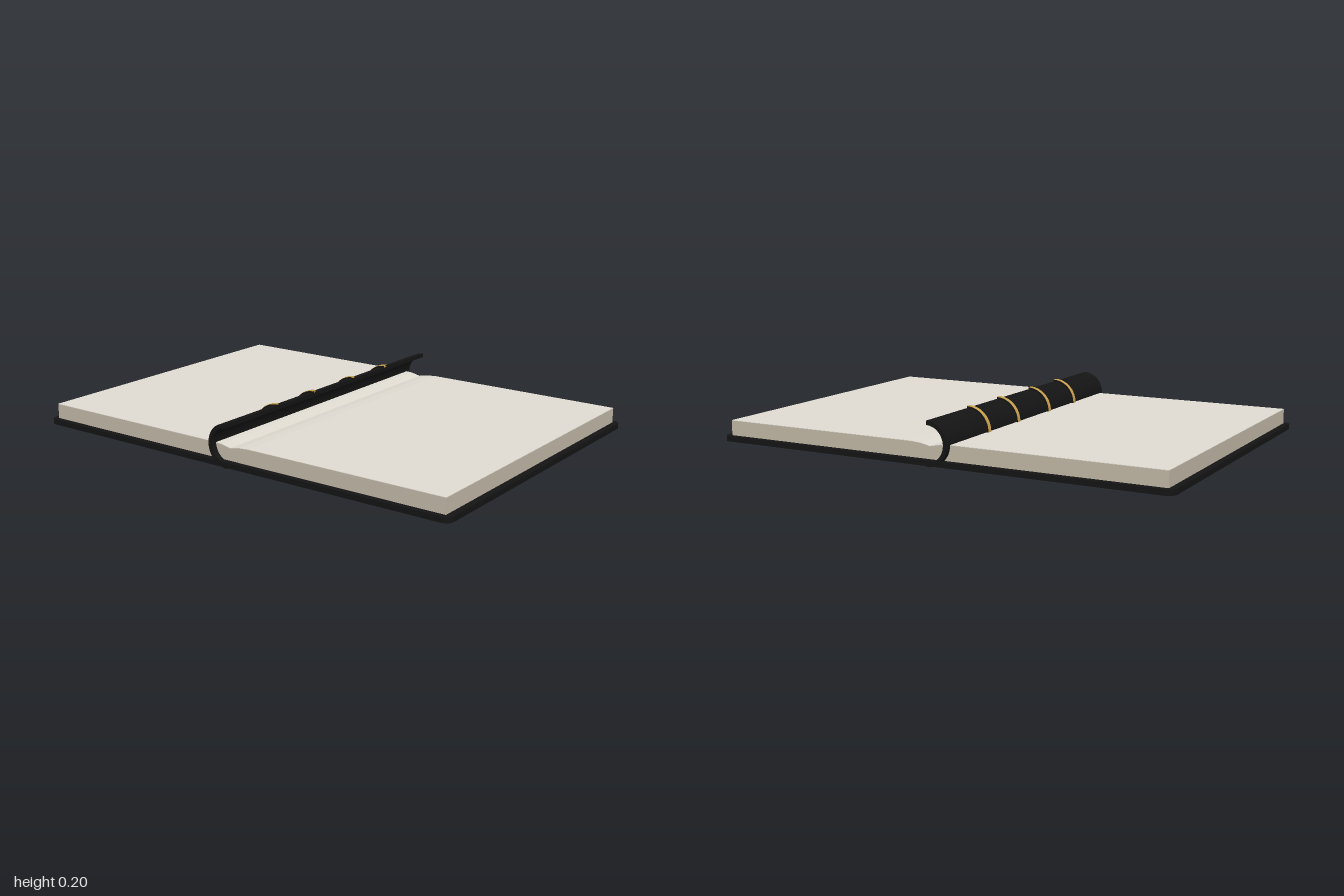
import * as THREE from 'three';

const mat = (color, side = THREE.FrontSide) => {
  const m = new THREE.MeshStandardMaterial({ color });
  m.side = side;
  return m;
};
const leather = mat(0x141414);
const paper = mat(0xdedad0);
const paperEdge = mat(0xc0b7a5);
const gold = mat(0xc9a04c);

const SPINE_Y = 0.1;

function add(group, name, geometry, material) {
  const mesh = new THREE.Mesh(geometry, material);
  mesh.name = name;
  group.add(mesh);
  return mesh;
}

// Half ring bulging towards -x, extruded along z and centred at z
function halfRing(rInner, rOuter, width, z) {
  const s = new THREE.Shape();
  s.absarc(0, 0, rOuter, Math.PI / 2, Math.PI * 1.5, false);
  s.absarc(0, 0, rInner, Math.PI * 1.5, Math.PI / 2, true);
  const g = new THREE.ExtrudeGeometry(s, { depth: width, bevelEnabled: false, curveSegments: 32 });
  return g.translate(0, SPINE_Y, z - width / 2);
}

// Flat board from x = 0 to x = 1 with rounded outer corners
function boardGeometry() {
  const d = 0.7, r = 0.035;
  const s = new THREE.Shape();
  s.moveTo(0, -d);
  s.lineTo(1 - r, -d);
  s.absarc(1 - r, -d + r, r, -Math.PI / 2, 0, false);
  s.absarc(1 - r, d - r, r, 0, Math.PI / 2, false);
  s.lineTo(0, d);
  const g = new THREE.ExtrudeGeometry(s, { depth: 0.022, bevelEnabled: false, curveSegments: 8 });
  return g.rotateX(-Math.PI / 2).translate(0, 0.014, 0);
}

// Both page stacks as one cross-section, dipping into the gutter
function pagesGeometry(bottom, lower) {
  const top = [[0.972, 0.1], [0.09, 0.1], [0.045, 0.097], [0.02, 0.092], [0, 0.088],
    [-0.02, 0.092], [-0.045, 0.097], [-0.09, 0.1], [-0.972, 0.1]];
  const pts = top.map(([x, y]) => new THREE.Vector2(x, y - lower));
  const under = bottom === null
    ? [...top].reverse().map(([x, y]) => new THREE.Vector2(x, y - 0.002))
    : [new THREE.Vector2(-0.972, bottom), new THREE.Vector2(0.972, bottom)];
  const g = new THREE.ExtrudeGeometry(new THREE.Shape([...pts, ...under]), { depth: 1.35, bevelEnabled: false });
  return g.translate(0, 0, -0.675);
}

// Thin rectangular outline lying under a board
function frameGeometry(x0, x1, d, w) {
  const rect = (Type, i) => new Type([
    new THREE.Vector2(x0 + i, -d + i), new THREE.Vector2(x1 - i, -d + i),
    new THREE.Vector2(x1 - i, d - i), new THREE.Vector2(x0 + i, d - i)]);
  const s = rect(THREE.Shape, 0);
  s.holes.push(rect(THREE.Path, w));
  const g = new THREE.ExtrudeGeometry(s, { depth: 0.004, bevelEnabled: false });
  return g.rotateX(-Math.PI / 2).translate(0, 0.011, 0);
}

export function createModel() {
  const book = new THREE.Group();
  book.name = 'openBook';

  // Covers
  add(book, 'leftCover', boardGeometry(), leather);
  add(book, 'rightCover', boardGeometry(), leather).rotation.y = Math.PI;

  // Page stacks with a lighter top sheet
  add(book, 'pageBlock', pagesGeometry(0.034, 0.002), paperEdge);
  add(book, 'topSheets', pagesGeometry(null, 0), paper);

  // Curved spine
  add(book, 'spine', halfRing(0.073, 0.09, 1.4, 0), leather);

  // Raised spine bands with gold strips
  for (const z of [-0.385, -0.14, 0.14, 0.385]) {
    const band = new THREE.Group();
    band.name = 'spineBand';
    add(band, 'rib', halfRing(0.085, 0.097, 0.026, z), leather);
    add(band, 'goldStrip', halfRing(0.09, 0.099, 0.019, z), gold);
    book.add(band);
  }

  // Double gilt border under the right cover
  add(book, 'outerBorder', frameGeometry(-0.97, -0.09, 0.67, 0.006), gold);
  add(book, 'innerBorder', frameGeometry(-0.95, -0.11, 0.65, 0.004), gold);

  return book;
}
